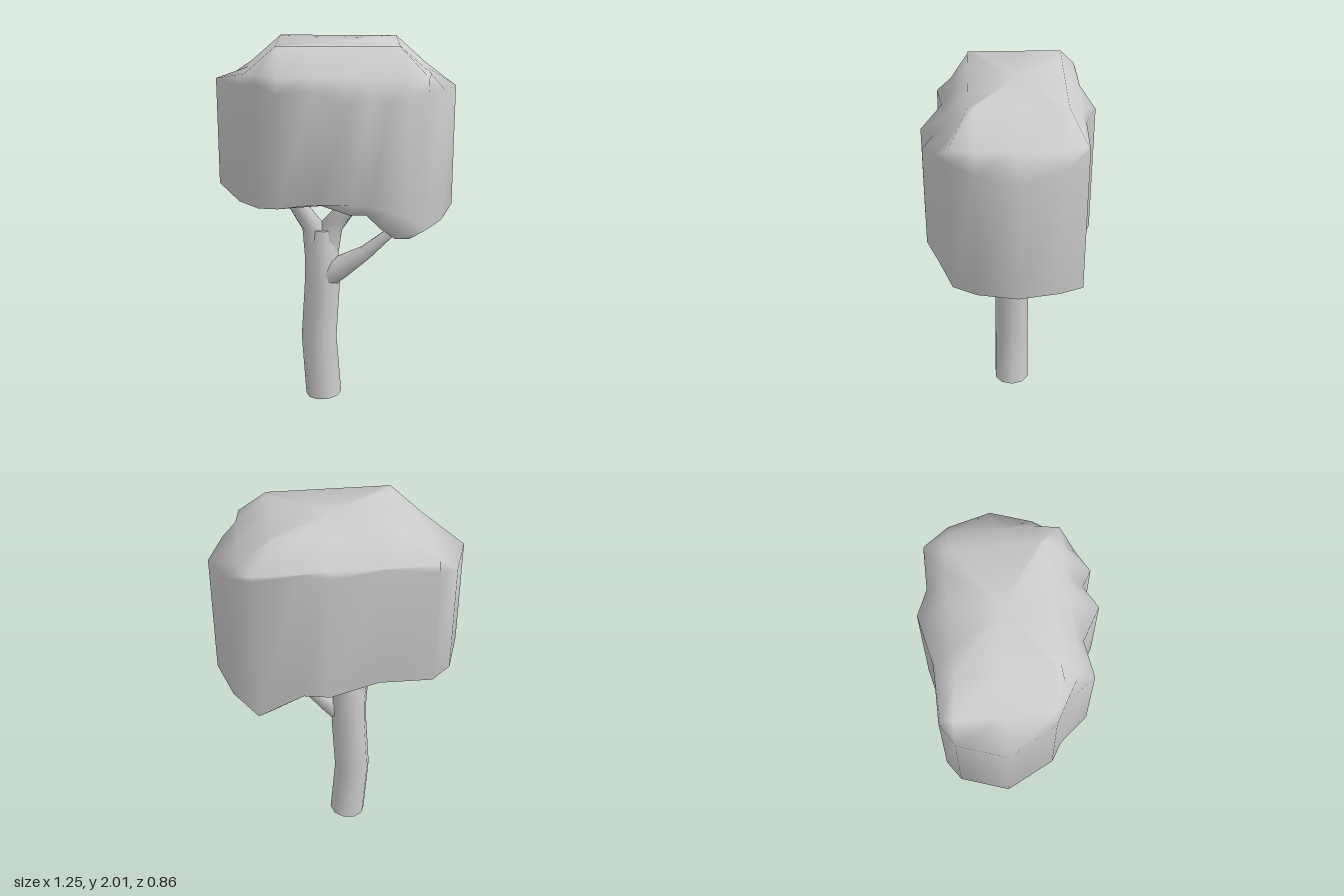
import * as THREE from 'three';
import { mergeVertices } from 'three/addons/utils/BufferGeometryUtils.js';

const { clamp, lerp } = THREE.MathUtils;
const material = new THREE.MeshStandardMaterial({ color: 0xcccccc });

// Skin a stack of equal-length closed rings, listed from bottom to top
function loft(rings, weld) {
  const n = rings[0].length;
  const index = [];
  for (let i = 0; i < rings.length - 1; i++) {
    for (let j = 0; j < n; j++) {
      const k = (j + 1) % n;
      const a = i * n + j, b = i * n + k, c = b + n, d = a + n;
      index.push(a, d, b, d, c, b);
    }
  }
  let geometry = new THREE.BufferGeometry();
  geometry.setAttribute('position', new THREE.Float32BufferAttribute(rings.flat(2), 3));
  geometry.setIndex(index);
  if (weld) geometry = mergeVertices(geometry, 1e-4);
  geometry.computeVertexNormals();
  return geometry;
}

// Tapered limb through [x, y, z, radius] stations, with flat sharp-edged ends
function limb(name, stations, sides = 10) {
  const centres = stations.map(([x, y, z]) => new THREE.Vector3(x, y, z));
  const rings = stations.map(([, , , r], i) => {
    const dir = centres[Math.min(i + 1, centres.length - 1)].clone()
      .sub(centres[Math.max(i - 1, 0)]).normalize();
    const u = new THREE.Vector3(1, 0, 0).addScaledVector(dir, -dir.x).normalize();
    const w = u.clone().cross(dir);
    return Array.from({ length: sides }, (_, j) => {
      const t = (j / sides) * Math.PI * 2;
      return centres[i].clone().addScaledVector(u, r * Math.cos(t))
        .addScaledVector(w, r * Math.sin(t)).toArray();
    });
  });
  const point = (c) => Array.from({ length: sides }, () => c.toArray());
  const last = rings.length - 1;
  const all = [point(centres[0]), rings[0], ...rings, rings[last], point(centres[last])];
  const mesh = new THREE.Mesh(loft(all, false), material);
  mesh.name = name;
  return mesh;
}

// Height of the canopy's underside across its width
const underside = [[-0.63, 1.23], [-0.43, 1.16], [-0.13, 1.21], [0.2, 1.15],
  [0.26, 1.04], [0.43, 1.0], [0.63, 1.13]];
function underY(x) {
  for (let i = 1; i < underside.length; i++) {
    const [x0, y0] = underside[i - 1], [x1, y1] = underside[i];
    if (x <= x1) return lerp(y0, y1, (x - x0) / (x1 - x0));
  }
  return underside[underside.length - 1][1];
}

// Plan of the canopy: x, z, height of shoulder, lift of the lower rim
const plan = [
  [-0.63, -0.08, 1.8, 0], [-0.55, -0.31, 1.8, 0.02], [-0.45, -0.375, 1.83, 0.03],
  [-0.18, -0.375, 1.86, 0], [0.07, -0.43, 1.86, 0], [0.2, -0.375, 1.86, 0],
  [0.43, -0.375, 1.84, 0.04], [0.55, -0.25, 1.8, 0.02], [0.625, -0.04, 1.77, 0],
  [0.55, 0.16, 1.78, 0.02], [0.46, 0.28, 1.79, 0.06], [0.36, 0.35, 1.78, 0.15],
  [0.265, 0.41, 1.76, 0.18], [0.175, 0.36, 1.78, 0.07], [0.07, 0.425, 1.76, 0.08],
  [-0.11, 0.325, 1.8, 0.02], [-0.29, 0.355, 1.79, 0.03], [-0.4, 0.215, 1.82, 0.01],
  [-0.5, 0.155, 1.8, 0.01],
];

function canopy() {
  const cx = 0.08, cz = -0.05;
  // Underside rings shrink toward the middle and follow the underside height
  const below = (s) => plan.map(([x, z]) => {
    const px = lerp(cx, x, s);
    return [px, underY(px), lerp(cz, z, s)];
  });
  // Upper rings are the plan clipped to a smaller rectangle
  const clipped = (x0, x1, z0, z1, y) =>
    plan.map(([x, z]) => [clamp(x, x0, x1), y, clamp(z, z0, z1)]);
  const rings = [
    below(0), below(0.32), below(0.55), below(0.8),
    plan.map(([x, z, , lift]) => [x, underY(x) + lift, z]),
    plan.map(([x, z, top]) => [x, top, z]),
    clipped(-0.46, 0.48, -0.365, 0.28, 1.86),
    clipped(-0.3, 0.32, -0.28, 0.19, 2),
    plan.map(() => [0.01, 2, -0.04]),
  ];
  const mesh = new THREE.Mesh(loft(rings, true), material);
  mesh.name = 'canopy';
  return mesh;
}

export function createModel() {
  const tree = new THREE.Group();
  tree.name = 'tree';
  tree.add(
    canopy(),
    limb('trunk', [[-0.07, 0, -0.03, 0.1], [-0.095, 0.35, -0.03, 0.098],
      [-0.075, 0.68, -0.03, 0.097], [-0.078, 0.86, -0.03, 0.092], [-0.075, 0.99, -0.03, 0.07]]),
    // Upper fork
    limb('leftForkBranch', [[-0.1, 0.82, -0.03, 0.07], [-0.125, 1.0, -0.03, 0.06],
      [-0.19, 1.11, 0.01, 0.05], [-0.25, 1.22, 0.05, 0.045]], 8),
    limb('rightForkBranch', [[-0.06, 0.82, -0.03, 0.07], [-0.025, 1.0, -0.03, 0.062],
      [0.05, 1.1, -0.01, 0.052], [0.14, 1.21, 0.02, 0.045]], 8),
    // Low side branch
    limb('sideBranch', [[-0.05, 0.73, -0.01, 0.075], [0.03, 0.785, 0.02, 0.062],
      [0.16, 0.885, 0.07, 0.04], [0.31, 1.03, 0.11, 0.025]], 8),
  );
  return tree;
}
